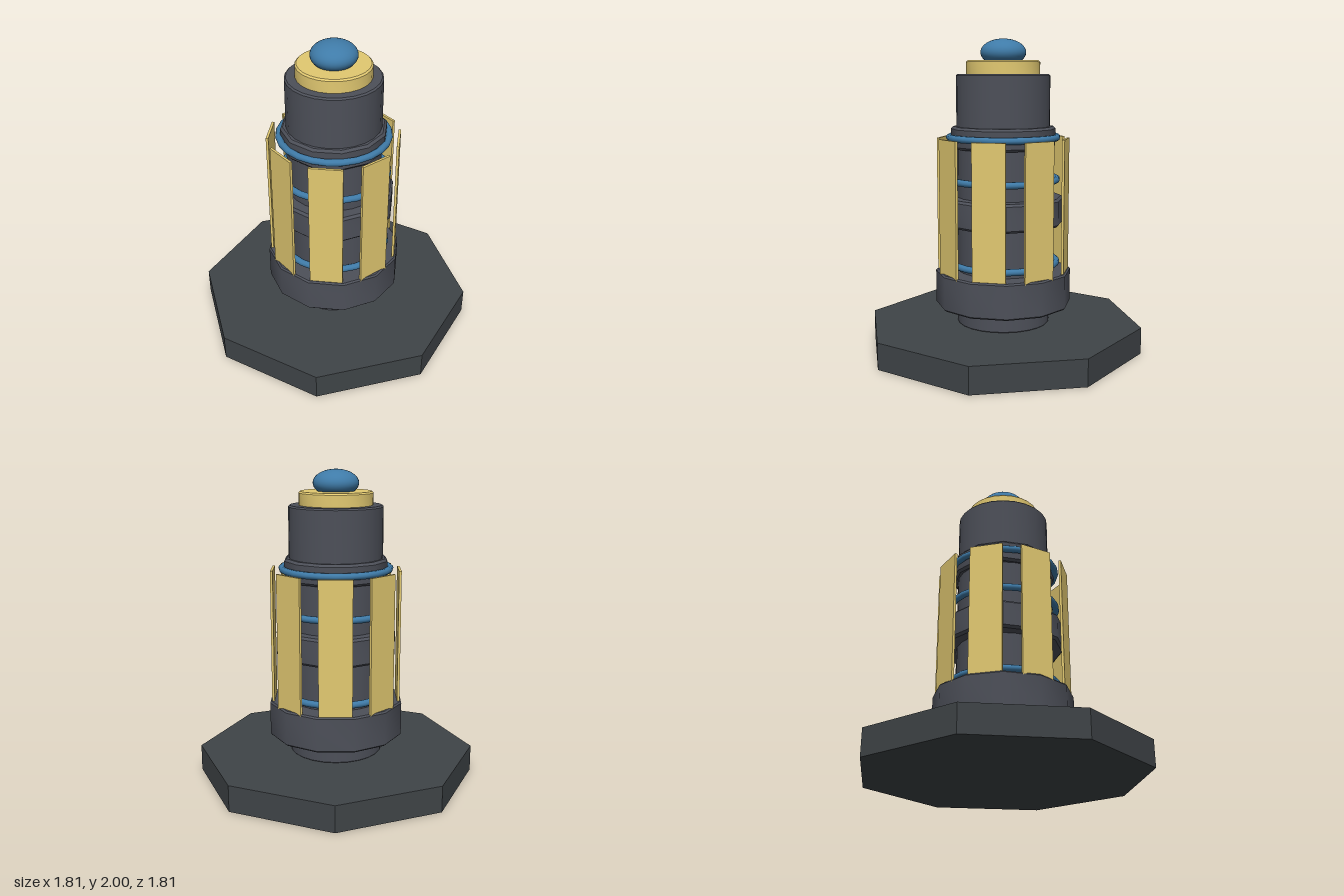
import * as THREE from 'three';
import { toCreasedNormals } from 'three/addons/utils/BufferGeometryUtils.js';

const paint = (color, flatShading = false) => new THREE.MeshStandardMaterial({ color, flatShading });

export function createModel() {
  const model = new THREE.Group();
  const dark = paint(0x4d5059);
  const baseGrey = paint(0x3f4447, true);
  const gold = paint(0xe2c971);
  const blue = paint(0x3f7ba8);

  const add = (name, geometry, material, y = 0) => {
    const mesh = new THREE.Mesh(geometry, material);
    mesh.name = name;
    mesh.position.y = y;
    model.add(mesh);
    return mesh;
  };

  // Solid drum from y0 to y1 with a small bevel on both rims
  const drum = (name, r, y0, y1, material, sides = 12, bevel = 0.01) => {
    const profile = [
      [0, y0], [r - bevel, y0], [r, y0 + bevel],
      [r, y1 - bevel], [r - bevel, y1], [0, y1],
    ].map(([x, y]) => new THREE.Vector2(x, y));
    return add(name, toCreasedNormals(new THREE.LatheGeometry(profile, sides), 0.7), material);
  };

  // Octagonal foot plate, corners on the axes
  add('basePlate', new THREE.CylinderGeometry(0.905, 0.905, 0.17, 8), baseGrey, 0.085);

  // Stacked body
  drum('core', 0.3, 0.165, 1.78, dark, 24);
  drum('lowerCollar', 0.44, 0.29, 0.52, dark);
  drum('middleBand', 0.39, 0.82, 1.0, dark, 12, 0.015);
  drum('upperFlange', 0.335, 1.31, 1.45, dark, 12, 0.015);
  drum('cap', 0.235, 1.77, 1.865, gold, 24);

  // Blue rings around the core
  for (const y of [0.57, 1.11, 1.38]) {
    const ring = new THREE.TorusGeometry(0.345, 0.022, 10, 24).rotateX(Math.PI / 2);
    add('ring', ring, blue, y);
  }

  // Eight upright panels
  for (let i = 0; i < 8; i++) {
    const angle = (i * Math.PI) / 4;
    const panel = add('panel', new THREE.BoxGeometry(0.21, 0.87, 0.016), gold, 0.94);
    panel.position.x = Math.sin(angle) * 0.405;
    panel.position.z = Math.cos(angle) * 0.405;
    panel.rotation.y = angle;
  }

  // Flattened dome on top
  add('dome', new THREE.SphereGeometry(0.145, 32, 20).scale(1, 0.59, 1), blue, 1.915);

  return model;
}
